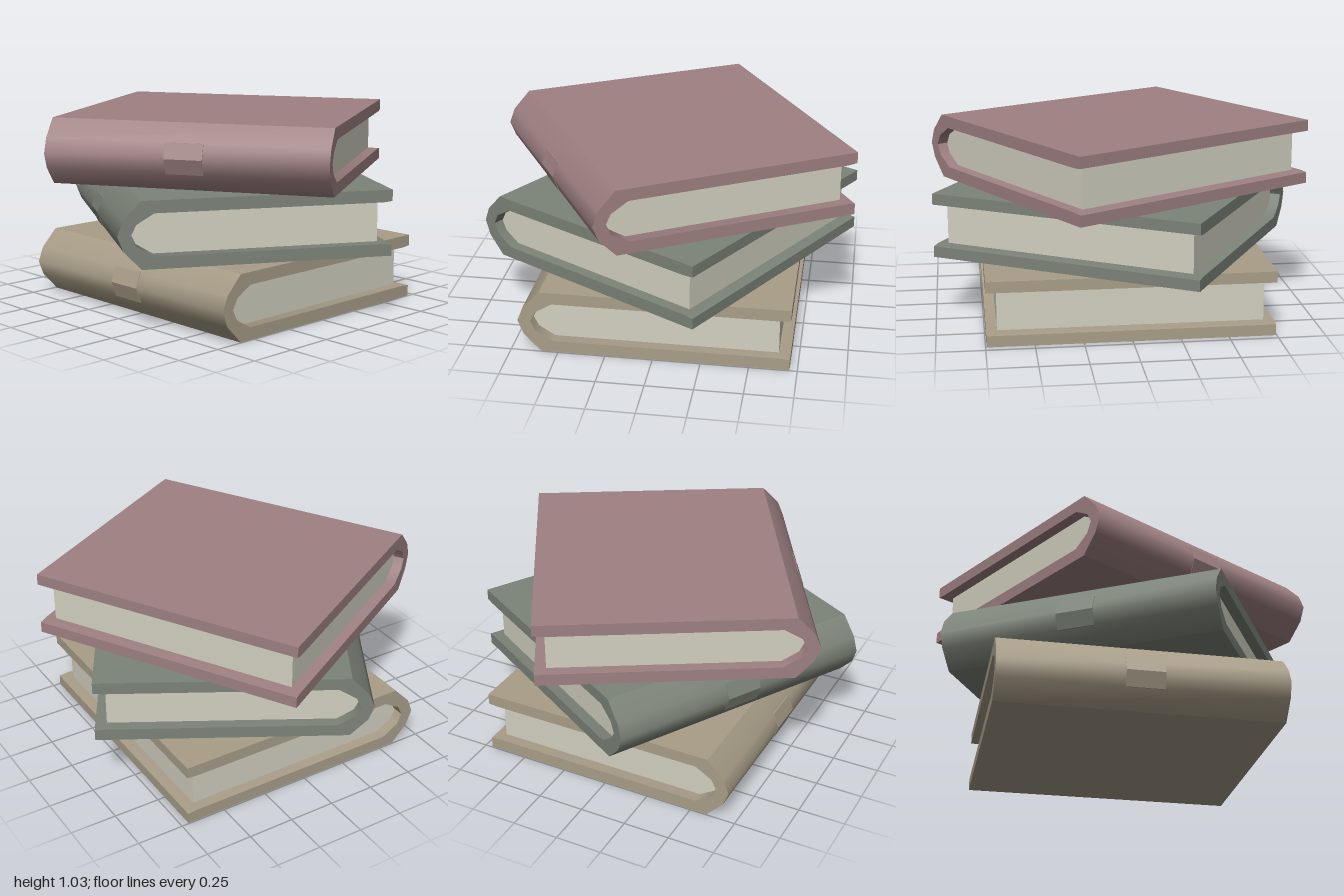
import * as THREE from 'three';
import { toCreasedNormals } from 'three/addons/utils/BufferGeometryUtils.js';

const H = 0.345; // thickness of one book
const mirrorUp = (pts) => pts.slice().reverse().map(([x, y]) => [x, H - y]);

// Lower half of each profile, from the fore edge to the middle of the spine
const OUTER = [[0.71, 0], [-0.59, 0], [-0.68, 0.095]];
const INNER = [[0.71, 0.059], [0.66, 0.064], [-0.525, 0.064], [-0.615, 0.118]];
const PAGES = [[0.65, 0.068], [-0.525, 0.068], [-0.61, 0.121]];

function extrude(points, depth) {
  const shape = new THREE.Shape(points.map(([x, y]) => new THREE.Vector2(x, y)));
  const geo = new THREE.ExtrudeGeometry(shape, { depth, bevelEnabled: false });
  geo.translate(0, 0, -depth / 2);
  return toCreasedNormals(geo, 0.76);
}

function part(name, geo, color) {
  const mesh = new THREE.Mesh(geo, new THREE.MeshStandardMaterial({ color }));
  mesh.name = name;
  return mesh;
}

function createBook(name, color) {
  const book = new THREE.Group();
  book.name = name;

  // Cover: two boards joined by a rounded spine, open at the fore edge
  const outer = [...OUTER, [-0.71, H / 2], ...mirrorUp(OUTER)];
  const inner = [...INNER, [-0.642, H / 2], ...mirrorUp(INNER)];
  book.add(part('cover', extrude([...outer, ...inner.reverse()], 1.49), color));

  // Page block, set back from the board edges
  const pages = [...PAGES, [-0.636, H / 2], ...mirrorUp(PAGES)];
  book.add(part('pages', extrude(pages, 1.38), 0xd2d0c0));

  // Thin plain panel wrapped over the middle of the spine
  const panel = [[-0.682, 0.092], [-0.712, H / 2], [-0.682, H - 0.092], [-0.67, H - 0.092], [-0.7, H / 2], [-0.67, 0.092]];
  const panelGeo = extrude(panel, 0.2);
  panelGeo.computeVertexNormals();
  book.add(part('spinePanel', panelGeo, color));
  return book;
}

export function createModel() {
  const model = new THREE.Group();
  model.name = 'bookStack';
  const books = [
    ['bottomBook', 0xa89d88, 0],
    ['middleBook', 0x7c8378, -Math.PI / 6],
    ['topBook', 0x9e8082, Math.PI / 6],
  ];
  books.forEach(([name, color, turn], i) => {
    const book = createBook(name, color);
    book.position.y = i * H;
    book.rotation.y = turn;
    model.add(book);
  });
  return model;
}
